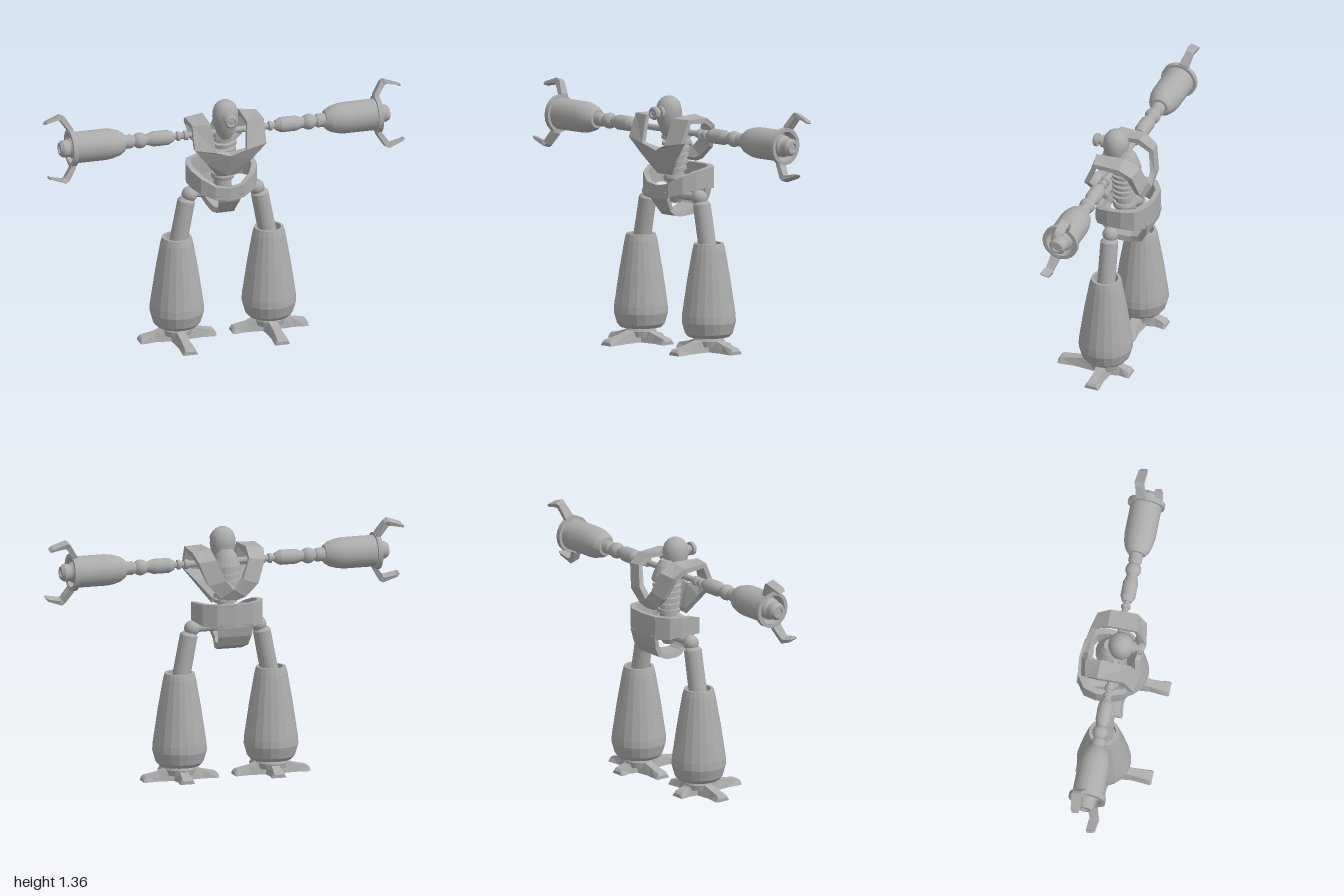
import * as THREE from 'three';
import { toCreasedNormals } from 'three/addons/utils/BufferGeometryUtils.js';

const steel = new THREE.MeshStandardMaterial({ color: 0xacacac });
steel.name = 'steel grey';

function add(parent, name, geo, x = 0, y = 0, z = 0) {
  const m = new THREE.Mesh(geo, steel);
  m.name = name;
  m.position.set(x, y, z);
  parent.add(m);
  return m;
}

// Turned part: points are [radius, height] from bottom to top, with faceted sides
const turned = (pts, sides = 20, crease = 0.05) =>
  toCreasedNormals(new THREE.LatheGeometry(pts.map(p => new THREE.Vector2(...p)), sides), crease);

// Turned part lying along +x: points are [radius, x]
const turnedX = (pts, sides = 20) => turned(pts, sides, 0.4).rotateZ(-Math.PI / 2);

// Faceted solid through a row of four-cornered cross-sections
function loft(sections, closed = false) {
  const pos = [];
  const quad = (a, b, c, d) => [a, b, c, a, c, d].forEach(p => pos.push(...p));
  const n = sections.length;
  for (let i = 0; i < (closed ? n : n - 1); i++) {
    const s = sections[i], t = sections[(i + 1) % n];
    for (let k = 0; k < 4; k++) quad(s[k], s[(k + 1) % 4], t[(k + 1) % 4], t[k]);
  }
  if (!closed) {
    quad(...[...sections[0]].reverse());
    quad(...sections[n - 1]);
  }
  // Turn the faces outward if the sections ran the other way round
  let volume = 0;
  const [a, b, c] = [0, 1, 2].map(() => new THREE.Vector3());
  for (let i = 0; i < pos.length; i += 9) {
    a.fromArray(pos, i); b.fromArray(pos, i + 3); c.fromArray(pos, i + 6);
    volume += a.dot(b.cross(c));
  }
  if (volume < 0) {
    for (let i = 0; i < pos.length; i += 9) {
      for (let k = 0; k < 3; k++) [pos[i + 3 + k], pos[i + 6 + k]] = [pos[i + 6 + k], pos[i + 3 + k]];
    }
  }
  const g = new THREE.BufferGeometry();
  g.setAttribute('position', new THREE.Float32BufferAttribute(pos, 3));
  g.computeVertexNormals();
  return g;
}

// Strip in the y-z plane: rows are [z, y, inner z, inner y, half width]
const strip = rows => loft(rows.map(([z, y, iz, iy, w]) =>
  [[-w, y, z], [w, y, z], [w * 0.9, iy, iz], [-w * 0.9, iy, iz]]));

function buildLeg(side) {
  const X = 0.258, Z = -0.042;
  // Four-toed foot
  [0.265, 0.212, 0.148, 0.212].forEach((len, i) => {
    const rows = [[0, 0.05, 0.075], [0.06, 0.042, 0.07], [len * 0.6, 0.034, 0.046], [len - 0.012, 0.043, 0.03], [len, 0.04, 0.018]];
    const toe = loft(rows.map(([r, w, h]) => [[-w, 0, r], [w, 0, r], [w * 0.65, h, r], [-w * 0.65, h, r]]));
    add(side, 'toe', toe, X, 0, Z).rotation.y = i * Math.PI / 2;
  });
  add(side, 'ankle', turned([[0, 0.03], [0.08, 0.03], [0.085, 0.06], [0.07, 0.09], [0, 0.09]]), X, 0, Z);
  // Flared shin with an open top
  add(side, 'shin', turned([[0, 0.08], [0.112, 0.08], [0.13, 0.1], [0.147, 0.16], [0.145, 0.2], [0.117, 0.39],
    [0.089, 0.55], [0.08, 0.585], [0.066, 0.585], [0.066, 0.53], [0, 0.53]]), X, 0, Z);
  const thigh = add(side, 'thigh', turned([[0, -0.14], [0.049, -0.14], [0.048, 0.115], [0.036, 0.13], [0, 0.13]]), 0.227, 0.675, -0.041);
  thigh.rotation.z = 0.19;
  add(side, 'hipBall', new THREE.SphereGeometry(0.043, 20, 14), 0.187, 0.823, -0.04);
}

function buildArm(side) {
  const arm = new THREE.Group();
  arm.name = 'arm';
  arm.position.set(0, 1.174, -0.02);
  side.add(arm);
  add(arm, 'shoulderRod', turnedX([[0, 0.03], [0.017, 0.03], [0.017, 0.2], [0.026, 0.205], [0.026, 0.225],
    [0.017, 0.23], [0.017, 0.245], [0.026, 0.25], [0.026, 0.265], [0.017, 0.27], [0.017, 0.3], [0, 0.3]], 14));
  add(arm, 'upperArm', turnedX([[0, 0.285], [0.026, 0.285], [0.041, 0.315], [0.041, 0.4], [0.03, 0.43],
    [0.03, 0.51], [0.037, 0.52], [0.037, 0.56], [0.03, 0.575], [0, 0.575]], 16));
  add(arm, 'elbowBall', new THREE.SphereGeometry(0.043, 18, 12), 0.473, 0, 0);
  add(arm, 'forearm', turnedX([[0, 0.563], [0.05, 0.563], [0.068, 0.59], [0.08, 0.63], [0.085, 0.67],
    [0.085, 0.842], [0.101, 0.842], [0.101, 0.868], [0.08, 0.868], [0.072, 0.81], [0, 0.81]]));
  add(arm, 'handHub', turnedX([[0.058, 0.81], [0.058, 0.855], [0.047, 0.87], [0.047, 0.905],
    [0.035, 0.922], [0.022, 0.922], [0.02, 0.914], [0, 0.914]]));
  // Two bent claws on opposite sides of the wrist ring
  const clawRows = [[0.845, 0.085, 0.87, 0.085, 0.027], [0.845, 0.108, 0.87, 0.1, 0.026],
    [0.886, 0.176, 0.908, 0.155, 0.021], [0.905, 0.187, 0.92, 0.158, 0.025], [0.985, 0.158, 0.985, 0.144, 0.024], [1, 0.143, 0.99, 0.139, 0.018]];
  for (const turn of [-0.28, Math.PI - 0.28]) {
    const claw = loft(clawRows.map(([x, r, ix, ir, w]) => [[x, r, -w], [x, r, w], [ix, ir, w], [ix, ir, -w]]));
    add(arm, 'claw', claw).rotation.x = turn;
  }
}

function buildStrap(side) {
  // Harness: inner edge then outer edge, from the breastbone over the shoulder to the back
  const rows = [
    [0, 0.94, 0.045, 0.055, 0.94, 0.035],
    [0, 1.075, 0.105, 0.13, 1.04, 0.08],
    [0.085, 1.11, 0.125, 0.2, 1.13, 0.108],
    [0.1, 1.255, 0.075, 0.2, 1.255, 0.055],
    [0.1, 1.265, -0.09, 0.2, 1.25, -0.09],
    [0.092, 1.22, -0.175, 0.185, 1.205, -0.16],
    [0.05, 1.11, -0.203, 0.14, 1.08, -0.19],
    [0, 1.055, -0.203, 0.07, 1.01, -0.182],
    [0, 0.995, -0.175, 0.03, 0.993, -0.172],
  ];
  const centre = new THREE.Vector2(1.13, -0.03);
  add(side, 'shoulderStrap', loft(rows.map(([ax, ay, az, bx, by, bz]) => {
    const d = new THREE.Vector2((ay + by) / 2, (az + bz) / 2).sub(centre).setLength(0.03);
    return [[ax, ay, az], [bx, by, bz], [bx, by - d.x, bz - d.y], [ax, ay - d.x, az - d.y]];
  })));
}

export function createModel() {
  const model = new THREE.Group();
  model.name = 'robot';

  for (const s of [1, -1]) {
    const side = new THREE.Group();
    side.name = s > 0 ? 'leftSide' : 'rightSide';
    side.scale.x = s;
    model.add(side);
    buildLeg(side);
    buildArm(side);
    buildStrap(side);
  }

  // Head with a single protruding eye
  const head = add(model, 'head', turned([[0, 1.14], [0.03, 1.145], [0.045, 1.17], [0.062, 1.22], [0.07, 1.27], [0.068, 1.3],
    [0.059, 1.328], [0.042, 1.348], [0.02, 1.36], [0, 1.362]], 24, 0.6), 0, 0, 0.003);
  head.name = 'head';
  const eye = turned([[0, 0.04], [0.034, 0.04], [0.034, 0.082], [0.022, 0.084], [0.022, 0.1], [0.036, 0.102],
    [0.036, 0.12], [0.028, 0.128], [0.02, 0.128], [0.017, 0.12], [0, 0.124]], 18, 0.4).rotateX(Math.PI / 2);
  add(model, 'eye', eye, 0, 1.278, 0);

  // Ribbed spine and chest core
  add(model, 'spine', turned([[0, 0.78], [0.03, 0.78], [0.05, 0.82], [0.046, 0.95], [0.05, 1.18], [0, 1.18]], 18), 0, 0, -0.045);
  add(model, 'chestCore', turned([[0, 1.14], [0.08, 1.14], [0.078, 1.165], [0.055, 1.22], [0.035, 1.25], [0, 1.25]], 18), 0, 0, -0.055);
  for (let i = 0; i < 6; i++) {
    const r = 0.062 + i * 0.004;
    const rib = add(model, 'rib', turned([[0, -0.009], [r, -0.009], [r, 0.009], [0, 0.009]], 18), 0, 0.965 + i * 0.035, -0.045 - i * 0.002);
    rib.rotation.x = 0.08;
  }
  add(model, 'waistCollar', turned([[0, 0.9], [0.06, 0.9], [0.064, 0.915], [0.06, 0.93], [0, 0.93]], 18), 0, 0, -0.045);

  // Belt that dips toward the front: [x, z, bottom, top]
  const half = [[0, 0.1, 0.815, 0.885], [0.08, 0.09, 0.825, 0.9], [0.15, 0.05, 0.85, 0.94], [0.185, -0.02, 0.865, 0.965],
    [0.19, -0.1, 0.87, 0.975], [0.17, -0.17, 0.86, 0.98], [0.1, -0.216, 0.85, 0.98], [0, -0.226, 0.85, 0.98]];
  const loop = [...half, ...half.slice(1, -1).reverse().map(([x, ...r]) => [-x, ...r])];
  add(model, 'belt', loft(loop.map(([x, z, b, t]) => {
    const ix = x * 0.84, iz = -0.06 + (z + 0.06) * 0.84;
    return [[x, b, z], [x, t, z], [ix, t, iz], [ix, b, iz]];
  }), true));

  // Pelvis guard below the belt
  add(model, 'rearGuard', strip([[-0.222, 0.87, -0.19, 0.87, 0.105], [-0.208, 0.8, -0.178, 0.81, 0.095],
    [-0.178, 0.745, -0.15, 0.765, 0.085], [-0.11, 0.715, -0.1, 0.745, 0.07], [-0.03, 0.708, -0.03, 0.738, 0.06]]));
  add(model, 'frontGuard', strip([[0.095, 0.85, 0.07, 0.86, 0.075], [0.075, 0.8, 0.05, 0.81, 0.06],
    [0.035, 0.74, 0.012, 0.755, 0.045], [0.005, 0.715, -0.005, 0.74, 0.05], [-0.035, 0.708, -0.035, 0.738, 0.06]]));
  const axle = add(model, 'hipAxle', turnedX([[0, -0.18], [0.022, -0.18], [0.022, 0.18], [0, 0.18]], 14), 0, 0.823, -0.04);
  axle.name = 'hipAxle';

  return model;
}
